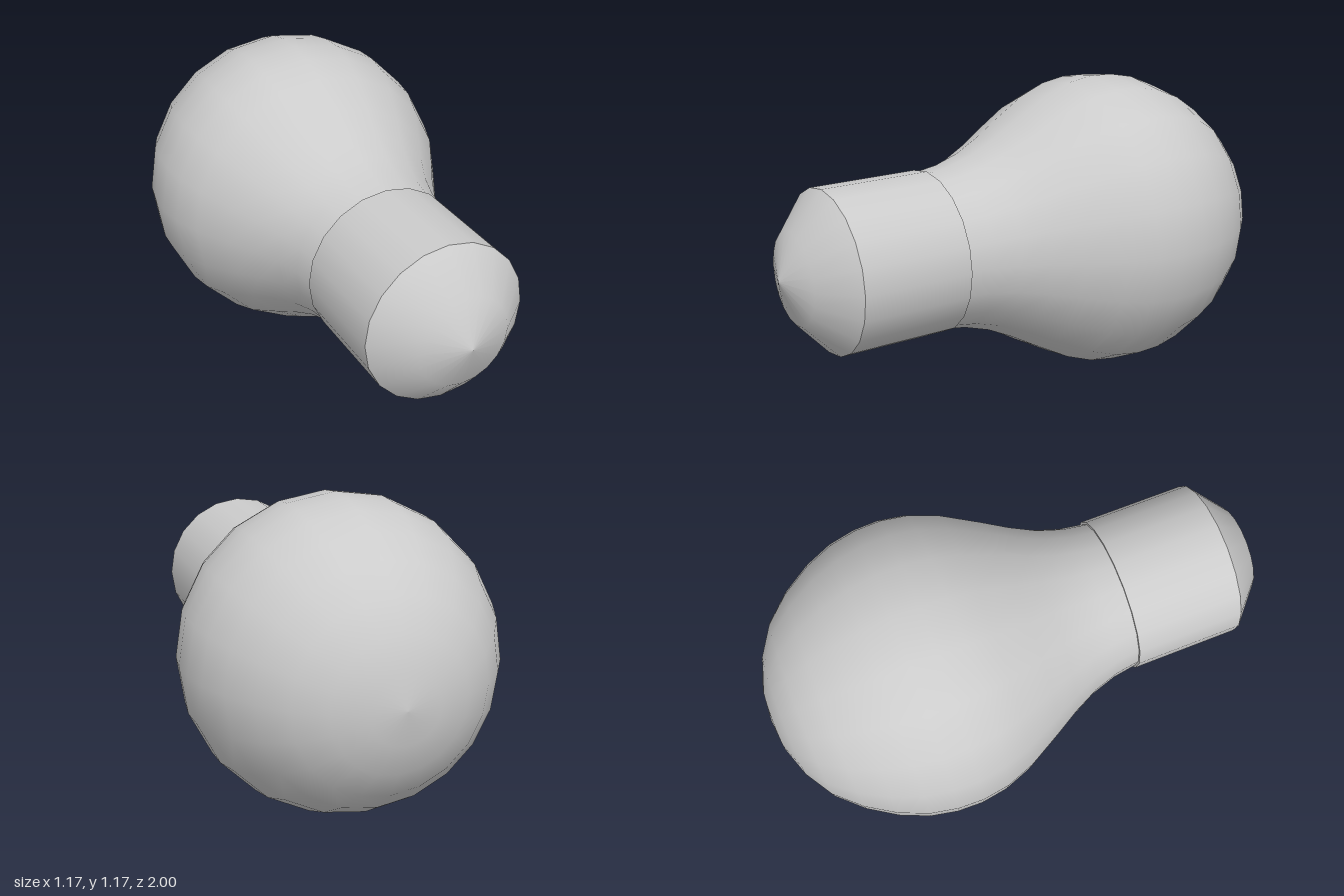
import * as THREE from 'three';

const SIDES = 20;
const AXIS_HEIGHT = 0.583;

export function createModel() {
  const group = new THREE.Group();
  const material = new THREE.MeshStandardMaterial({ color: 0xcccccc, side: THREE.DoubleSide });

  // Turns a profile of [radius, z] pairs, listed back to front, around the z axis
  function addTurned(name, profile) {
    const geometry = new THREE.LatheGeometry(profile.map(([r, z]) => new THREE.Vector2(r, z)), SIDES);
    geometry.rotateX(Math.PI / 2);
    const mesh = new THREE.Mesh(geometry, material);
    mesh.name = name;
    mesh.position.y = AXIS_HEIGHT;
    group.add(mesh);
  }

  // Round glass narrowing into the neck
  addTurned('glassBulb', [
    [0, -1], [0.128, -0.985], [0.247, -0.943], [0.355, -0.875], [0.443, -0.78],
    [0.513, -0.67], [0.559, -0.56], [0.58, -0.455], [0.583, -0.355], [0.567, -0.25],
    [0.527, -0.14], [0.45, 0], [0.392, 0.1], [0.343, 0.2], [0.312, 0.3], [0.297, 0.4],
  ]);

  // Straight base sleeve, with the narrow ledge around the neck
  addTurned('baseLedge', [[0.28, 0.395], [0.307, 0.395]]);
  addTurned('baseSleeve', [[0.307, 0.395], [0.307, 0.82]]);

  // Domed contact at the front end
  addTurned('baseTip', [[0.307, 0.82], [0.172, 0.943], [0, 1]]);

  return group;
}
